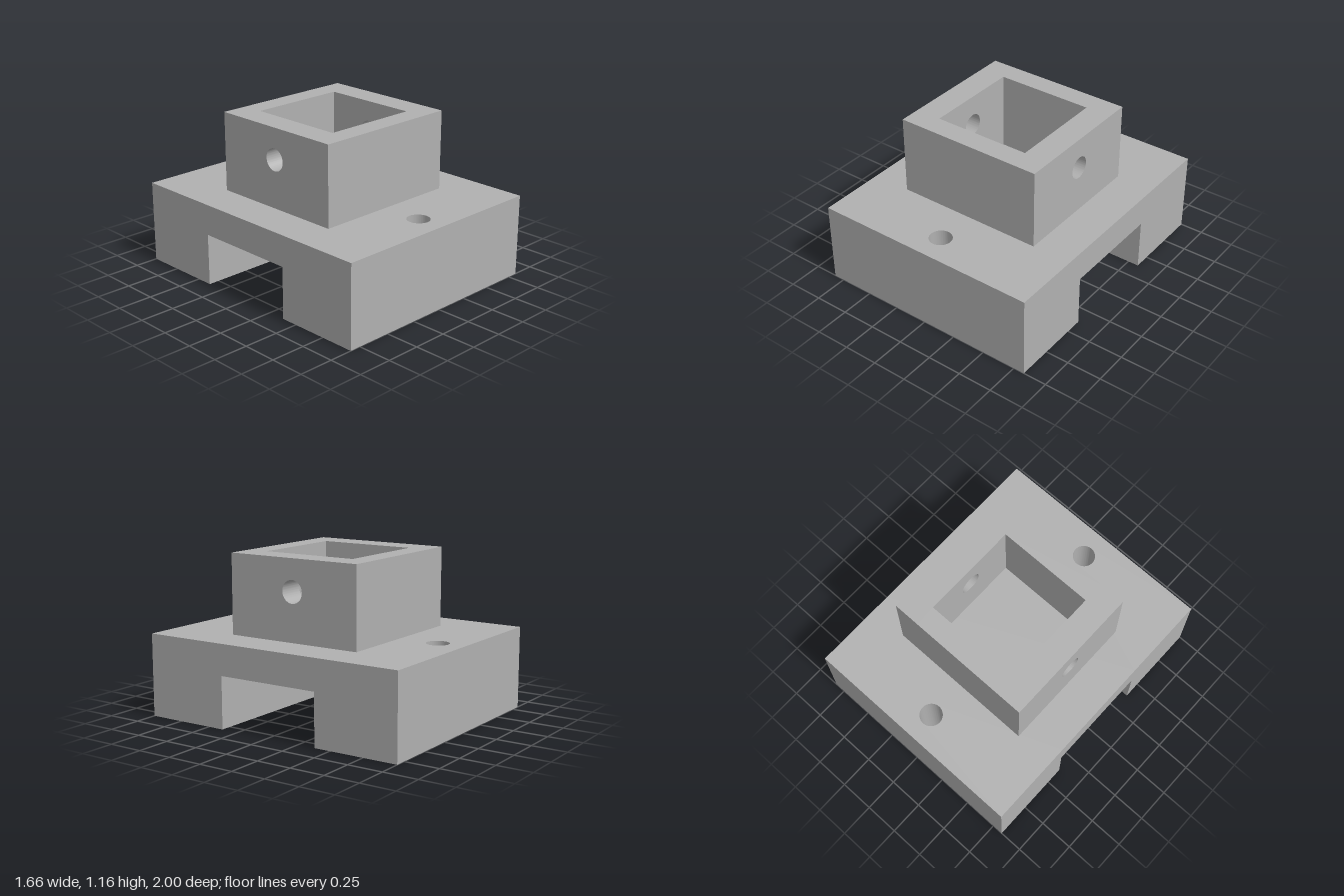
import * as THREE from 'three';
import { toCreasedNormals } from 'three/addons/utils/BufferGeometryUtils.js';

const BASE = { x: 0.83, z: 1, top: 0.59 };          // half sizes and height
const CHANNEL = { z: 0.38, top: 0.37 };
const COLLAR = { x: 0.545, z: 0.51, top: 1.16 };
const POCKET = 0.355;
const HOLE = 0.08;

// Rectangular slab, centred in its outline, pierced by one round hole
function drilledSlab(width, height, depth, holeX, holeY) {
  const w = width / 2, h = height / 2;
  const shape = new THREE.Shape();
  shape.moveTo(-w, -h).lineTo(w, -h).lineTo(w, h).lineTo(-w, h).closePath();
  const hole = new THREE.Path();
  hole.absarc(holeX, holeY, HOLE, 0, Math.PI * 2, true);
  shape.holes.push(hole);
  const geo = new THREE.ExtrudeGeometry(shape, { depth, bevelEnabled: false, curveSegments: 40 });
  return toCreasedNormals(geo, 0.5);
}

export function createModel() {
  const model = new THREE.Group();
  model.name = 'mountingBracket';
  const grey = new THREE.MeshStandardMaterial({ color: 0xb0b0b0 });
  grey.name = 'grey';

  const add = (name, geometry, x, y, z) => {
    const mesh = new THREE.Mesh(geometry, grey);
    mesh.name = name;
    mesh.position.set(x, y, z);
    model.add(mesh);
  };

  // Bridge over the channel
  add('bridge', new THREE.BoxGeometry(BASE.x * 2, BASE.top - CHANNEL.top, CHANNEL.z * 2),
    0, (BASE.top + CHANNEL.top) / 2, 0);

  const legDepth = BASE.z - CHANNEL.z;
  const legZ = (BASE.z + CHANNEL.z) / 2;
  const wallHeight = COLLAR.top - BASE.top;
  const wallY = (COLLAR.top + BASE.top) / 2;
  const sideThickness = COLLAR.x - POCKET;
  const endThickness = COLLAR.z - POCKET;

  for (const s of [1, -1]) {
    const end = s > 0 ? 'front' : 'back';
    const side = s > 0 ? 'left' : 'right';

    // Legs with vertical bolt holes at z = +-0.8
    const leg = drilledSlab(BASE.x * 2, legDepth, BASE.top, 0, -s * (0.8 - legZ));
    leg.rotateX(-Math.PI / 2);
    add(end + 'Leg', leg, 0, 0, s * legZ);

    // Collar side walls with the cross pin hole
    const wall = drilledSlab(COLLAR.z * 2, wallHeight, sideThickness, 0, 0.935 - wallY);
    wall.rotateY(Math.PI / 2);
    add(side + 'CollarWall', wall, s > 0 ? POCKET : -COLLAR.x, wallY, 0);

    // Collar end walls between the side walls
    add(end + 'CollarWall', new THREE.BoxGeometry(POCKET * 2, wallHeight, endThickness),
      0, wallY, s * (COLLAR.z + POCKET) / 2);
  }
  return model;
}
